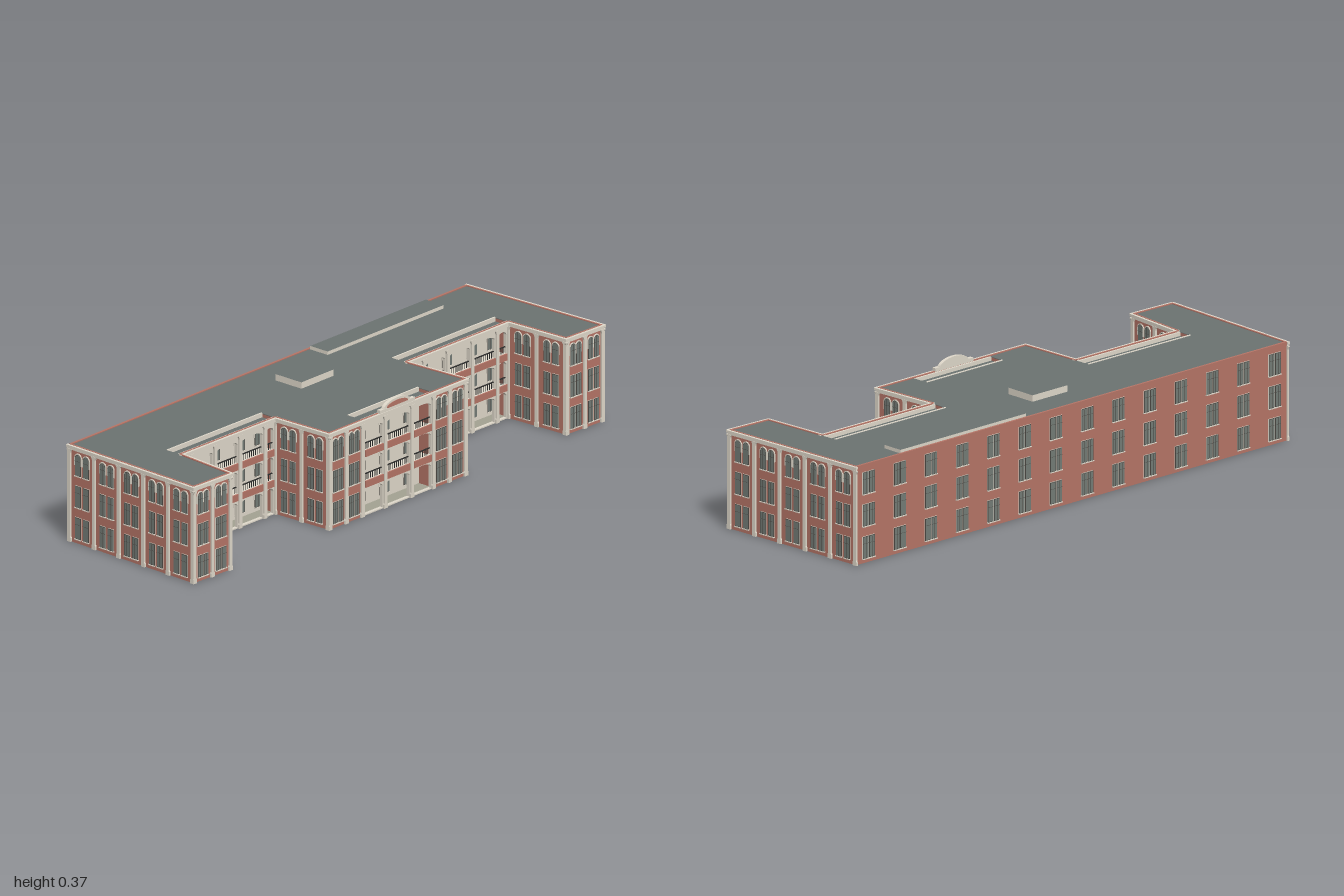
import * as THREE from 'three';

const mat = (name, color) => {
  const m = new THREE.MeshStandardMaterial({ color });
  m.name = name;
  return m;
};

export function createModel() {
  const brick = mat('brick', 0xb67567);
  const stone = mat('stone', 0xe0d9cb);
  const roofing = mat('roofing', 0x6c7371);
  const foundation = mat('foundation', 0xa4a292);
  const glass = mat('glass', 0x747c77);
  const frame = mat('window frame', 0x4f4c47);
  const iron = mat('iron', 0x2e2e2d);
  const model = new THREE.Group();
  model.name = 'building';
  const H = 0.335;
  const floors = [0.016, 0.126, 0.236];

  const add = (parent, name, geo, material, x = 0, y = 0, z = 0) => {
    const m = new THREE.Mesh(geo, material);
    m.name = name;
    m.position.set(x, y, z);
    parent.add(m);
    return m;
  };
  // box given by its minimum and maximum corners
  const box = (parent, name, material, x0, x1, y0, y1, z0, z1) =>
    add(parent, name, new THREE.BoxGeometry(x1 - x0, y1 - y0, z1 - z0), material,
      (x0 + x1) / 2, (y0 + y1) / 2, (z0 + z1) / 2);
  const extrude = (shape, depth) =>
    new THREE.ExtrudeGeometry(shape, { depth, bevelEnabled: false, curveSegments: 8 });

  // rectangle standing on y0, with an optional elliptical head of height rise
  const outline = (target, x0, x1, y0, y1, rise) => {
    target.moveTo(x0, y0).lineTo(x1, y0).lineTo(x1, y1 - rise);
    if (rise) target.absellipse((x0 + x1) / 2, y1 - rise, (x1 - x0) / 2, rise, 0, Math.PI, false, 0);
    else target.lineTo(x0, y1);
    target.lineTo(x0, y0);
    return target;
  };
  const cache = {};
  const plate = (w, h, rise, depth) => {
    const key = [w, h, rise, depth].join();
    return cache[key] ??= extrude(outline(new THREE.Shape(), -w / 2, w / 2, 0, h, rise), depth);
  };

  // local frame of a wall: x along the wall, y up, z outward
  const wallGroup = (name, [x0, z0], [x1, z1]) => {
    const g = new THREE.Group();
    g.name = name;
    g.position.set(x0, 0, z0);
    g.rotation.y = Math.atan2(z0 - z1, x1 - x0);
    model.add(g);
    return { g, L: Math.hypot(x1 - x0, z1 - z0) };
  };

  const addWindow = (g, x, y, w, h, arched, z = 0) => {
    const rise = arched ? w / 2 : 0;
    if (arched) add(g, 'windowHood', plate(w + 0.007, 0.042, rise + 0.0035, 0.003), stone, x, y + h - 0.0385, z);
    add(g, 'windowSurround', plate(w + 0.002, h + 0.001, arched ? rise + 0.001 : 0, 0.0015), stone, x, y, z);
    add(g, 'windowFrame', plate(w, h, rise, 0.0035), frame, x, y, z);
    add(g, 'windowGlass', plate(w - 0.003, h - 0.003, arched ? rise - 0.0015 : 0, 0.0042), glass, x, y + 0.0015, z);
    box(g, 'mullion', frame, x - 0.0006, x + 0.0006, y, y + h - 0.002, z, z + 0.0048);
    box(g, 'transom', frame, x - w / 2, x + w / 2, y + h * 0.68, y + h * 0.68 + 0.001, z, z + 0.0048);
    box(g, 'windowSill', stone, x - w / 2 - 0.002, x + w / 2 + 0.002, y - 0.003, y, z, z + 0.006);
  };
  const windowPair = (g, x, w, gap, archedTop) => floors.forEach((y, i) => {
    for (const s of [-1, 1]) addWindow(g, x + s * gap, y, w, 0.074, archedTop && i === 2);
  });

  // pilaster with a plinth and a flared capital
  const half = [[0.008, 0], [0.008, 0.013], [0.0062, 0.018], [0.0062, 0.31], [0.0075, 0.316], [0.01, 0.32], [0.01, 0.324]];
  const pilasterShape = new THREE.Shape(
    [...half, ...half.slice().reverse().map(([x, y]) => [-x, y])].map(p => new THREE.Vector2(...p)));
  const pilasterGeo = extrude(pilasterShape, 0.007);
  const pilaster = (g, x) => add(g, 'pilaster', pilasterGeo, stone, x);

  const cornice = (g, L) => {
    box(g, 'corniceBand', stone, -0.004, L + 0.004, 0.322, 0.33, 0, 0.006);
    box(g, 'corniceCap', stone, -0.008, L + 0.008, 0.329, 0.337, 0, 0.01);
    box(g, 'parapet', brick, 0, L, 0.325, 0.338, -0.005, 0.001);
  };

  // run of brick bays between pilasters
  const bays = (g, from, to, n, w, gap) => {
    const step = (to - from) / n;
    for (let i = 0; i <= n; i++) pilaster(g, from + i * step);
    for (let i = 0; i < n; i++) windowPair(g, from + (i + 0.5) * step, w, gap, true);
  };
  const brickWall = (name, a, b, n, w, gap) => {
    const { g, L } = wallGroup(name, a, b);
    cornice(g, L);
    bays(g, 0.001, L - 0.001, n, w, gap);
  };

  // open arcade of three storeys in front of a recessed stone wall
  const loggia = (g, edges, depth) => {
    const a = edges[0], b = edges[edges.length - 1];
    const screen = outline(new THREE.Shape(), a, b, 0, H, 0);
    const levels = [[0.004, 0.094], [0.121, 0.202], [0.228, 0.306]];
    box(g, 'recessedWall', stone, a, b, 0, H + 0.002, -depth, -depth + 0.006);
    box(g, 'porchFloor', foundation, a, b, 0, 0.003, -depth, -0.012);
    box(g, 'porchRoof', roofing, a, b, 0.312, 0.322, -depth, -0.012);
    for (const y of [0.098, 0.205]) box(g, 'balconyFloor', stone, a, b, y, y + 0.015, -depth, -0.012);
    for (let i = 0; i < edges.length - 1; i++) {
      const x0 = edges[i] + 0.009, x1 = edges[i + 1] - 0.009, cx = (x0 + x1) / 2;
      const wide = x1 - x0 > 0.06;
      levels.forEach(([y0, y1], k) => {
        screen.holes.push(outline(new THREE.Path(), x0, x1, y0, y1, 0.014));
        addWindow(g, cx, [0.018, 0.126, 0.234][k], wide ? 0.046 : 0.026, 0.066, true, -depth + 0.006);
        if (!k) return;
        // brick band and railing
        box(g, 'brickBand', brick, x0, x1, y0 - 0.023, y0, 0, 0.005);
        box(g, 'handrail', iron, x0, x1, y0 + 0.02, y0 + 0.023, -0.008, -0.004);
        const n = Math.round((x1 - x0) / 0.009);
        for (let j = 1; j < n; j++) {
          const x = x0 + (x1 - x0) * j / n;
          box(g, 'baluster', iron, x - 0.0008, x + 0.0008, y0, y0 + 0.02, -0.007, -0.005);
        }
      });
    }
    add(g, 'arcadeScreen', extrude(screen, 0.012), stone, 0, 0, -0.012);
    edges.slice(1, -1).forEach(x => pilaster(g, x));
  };

  // footprint corners, from the front of the right wing round to the back
  const A = [-0.988, 0.272], B = [-0.818, 0.278], C = [-0.797, 0.045], D = [-0.343, 0.05];
  const E = [-0.335, 0.278], F = [0.328, 0.278], G = [0.312, 0.034], I = [0.807, 0.036];
  const J = [0.82, 0.277], K = [0.987, 0.284], M = [0.96, -0.284], N = [-0.97, -0.284];
  const body = new THREE.Shape([A, B, C, [-0.797, -0.016], [-0.343, -0.011], D, E,
    [-0.17, 0.278], [-0.17, 0.212], [0.17, 0.212], [0.17, 0.278], F, G,
    [0.312, -0.027], [0.807, -0.025], I, J, K, M, N].map(([x, z]) => new THREE.Vector2(x, -z)));
  add(model, 'mainBody', extrude(body, H - 0.002).rotateX(-Math.PI / 2), [foundation, brick], 0, 0, 0);
  add(model, 'roof', extrude(body, 0.002).rotateX(-Math.PI / 2), roofing, 0, H - 0.002, 0);

  // wings and side walls
  brickWall('rightWingFront', A, B, 2, 0.022, 0.0135);
  brickWall('rightWingInnerSide', B, C, 2, 0.025, 0.018);
  brickWall('centreRightSide', D, E, 2, 0.025, 0.018);
  brickWall('centreLeftSide', F, G, 2, 0.025, 0.018);
  brickWall('leftWingInnerSide', I, J, 2, 0.025, 0.018);
  brickWall('leftWingFront', J, K, 2, 0.022, 0.0135);
  brickWall('leftSide', K, M, 5, 0.025, 0.018);
  brickWall('rightSide', N, A, 5, 0.025, 0.018);

  // courtyard arcades
  for (const [name, a, b, inner] of [
    ['rightCourtyard', C, D, [0.05, 0.162, 0.282, 0.402]],
    ['leftCourtyard', G, I, [0.083, 0.198, 0.318, 0.438]]]) {
    const { g, L } = wallGroup(name, a, b);
    cornice(g, L);
    loggia(g, [0, ...inner, L], 0.062);
  }

  // centre front: brick bays either side of an arcade
  const centre = wallGroup('centreFront', E, F);
  cornice(centre.g, centre.L);
  bays(centre.g, 0.002, 0.158, 2, 0.022, 0.0135);
  bays(centre.g, centre.L - 0.158, centre.L - 0.002, 2, 0.022, 0.0135);
  loggia(centre.g, [0.165, 0.27, 0.4, 0.505], 0.067);

  // plain back wall
  const back = wallGroup('backWall', M, N);
  box(back.g, 'backCoping', brick, 0, back.L, 0.326, 0.338, -0.005, 0.003);
  for (let i = 0; i < 14; i++) windowPair(back.g, back.L * (0.028 + 0.944 * i / 13), 0.024, 0.014, false);

  // curved gable crest over the centre
  const crest = (w, y, rise) => outline(new THREE.Shape(), -w / 2, w / 2, 0, y + rise, rise);
  add(model, 'crestBase', new THREE.BoxGeometry(0.17, 0.012, 0.014), stone, -0.01, 0.342, 0.279);
  add(model, 'crest', extrude(crest(0.13, 0.006, 0.027), 0.012), stone, -0.01, 0.338, 0.272);
  add(model, 'crestPanel', extrude(crest(0.1, 0.002, 0.014), 0.003), brick, -0.01, 0.347, 0.283);

  // rooftop housings
  const sides = [stone, stone, roofing, stone, stone, stone];
  box(model, 'roofHousing', sides, -0.092, 0.064, H, 0.357, -0.174, -0.061);
  box(model, 'longRoofHousing', sides, 0.192, 0.755, H, 0.347, -0.277, -0.201);
  return model;
}
